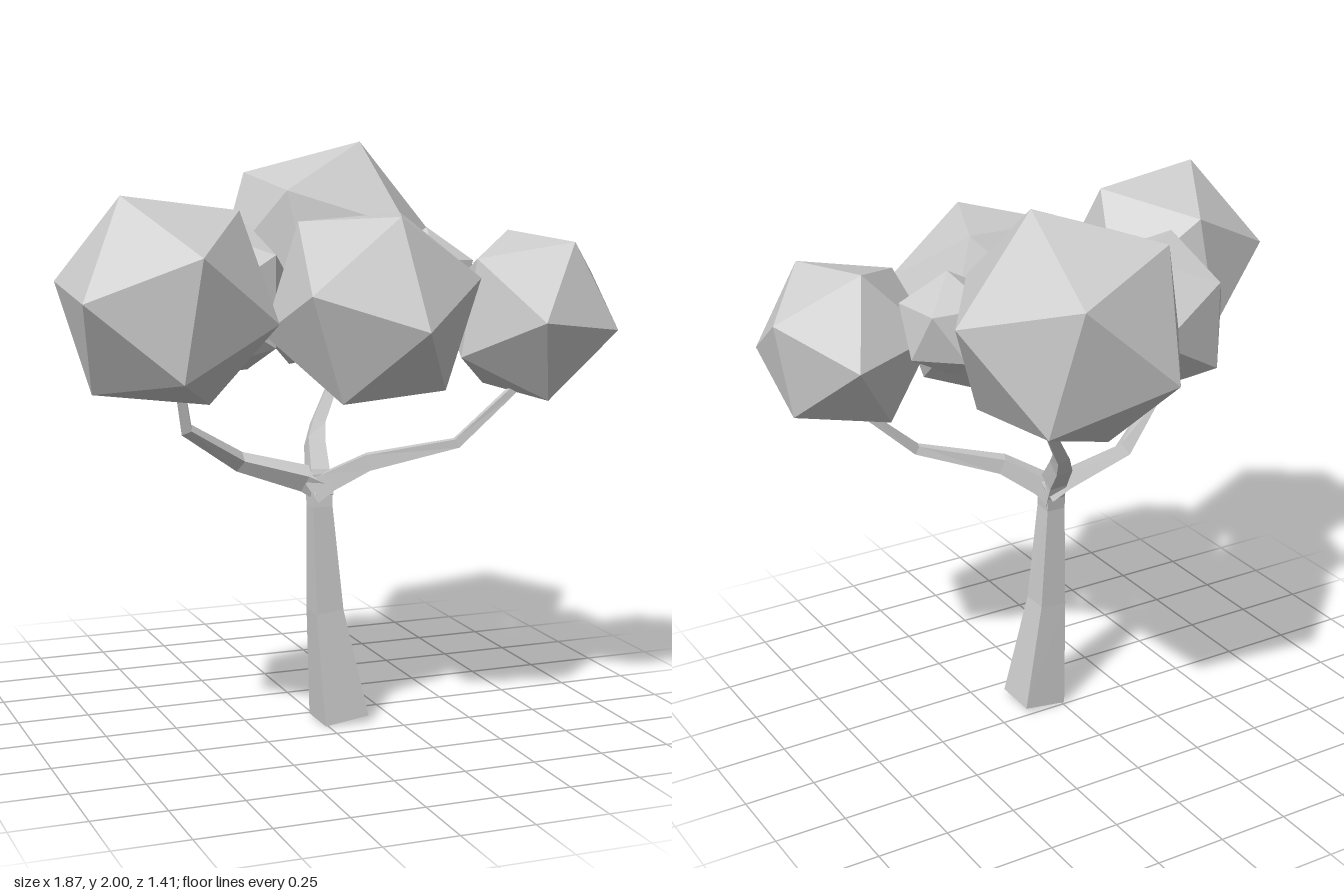
import * as THREE from 'three';

const material = new THREE.MeshStandardMaterial({ color: 0xcccccc, flatShading: true });
const vec = (p) => new THREE.Vector3(...p);

// Right-handed basis whose first axis is a and whose first plane holds b
function basis(a, b) {
  const e1 = a.clone().normalize();
  const e3 = new THREE.Vector3().crossVectors(e1, b).normalize();
  return new THREE.Matrix4().makeBasis(e1, new THREE.Vector3().crossVectors(e3, e1), e3);
}

// Icosahedron turned so that two neighbouring corners point along a and b
function foliage(name, centre, radius, a, b) {
  const geometry = new THREE.IcosahedronGeometry(radius, 0);
  const t = (1 + Math.sqrt(5)) / 2;
  const source = basis(vec([1, t, 0]), vec([-1, t, 0]));
  geometry.applyMatrix4(basis(vec(a), vec(b)).multiply(source.transpose()));
  const mesh = new THREE.Mesh(geometry, material);
  mesh.name = name;
  mesh.position.set(...centre);
  return mesh;
}

// Square limb through stations [x, y, z, halfWidth], capped at both ends
function limb(name, stations, ref) {
  const centres = stations.map(([x, y, z]) => vec([x, y, z]));
  const last = stations.length - 1;
  const positions = [];
  const index = [];
  centres.forEach((c, i) => {
    const before = c.clone().sub(centres[Math.max(i - 1, 0)]).normalize();
    const after = centres[Math.min(i + 1, last)].clone().sub(c).normalize();
    const tangent = before.add(after).normalize();
    const side = new THREE.Vector3().crossVectors(tangent, vec(ref)).normalize();
    const up = new THREE.Vector3().crossVectors(tangent, side);
    const w = stations[i][3];
    for (const [s, u] of [[1, 1], [-1, 1], [-1, -1], [1, -1]]) {
      positions.push(...c.clone().addScaledVector(side, s * w).addScaledVector(up, u * w).toArray());
    }
  });
  for (let i = 0; i < last; i++) {
    for (let k = 0; k < 4; k++) {
      const a = i * 4 + k, b = i * 4 + (k + 1) % 4;
      index.push(a, b, b + 4, a, b + 4, a + 4);
    }
  }
  const e = last * 4;
  index.push(0, 2, 1, 0, 3, 2, e, e + 1, e + 2, e, e + 2, e + 3);
  let geometry = new THREE.BufferGeometry();
  geometry.setAttribute('position', new THREE.Float32BufferAttribute(positions, 3));
  geometry.setIndex(index);
  geometry = geometry.toNonIndexed();
  geometry.computeVertexNormals();
  const mesh = new THREE.Mesh(geometry, material);
  mesh.name = name;
  return mesh;
}

export function createModel() {
  const tree = new THREE.Group();
  tree.name = 'tree';

  // Leaning trunk and three branches
  tree.add(
    limb('trunk', [[0.07, 0.013, 0.09, 0.081], [0.018, 0.4, 0.087, 0.05],
      [-0.003, 0.77, 0.087, 0.035], [0, 0.88, 0.075, 0.035]], [0, 0, 1]),
    limb('rightBranch', [[0.02, 0.83, 0.085, 0.04], [-0.05, 0.865, 0.07, 0.034], [-0.28, 0.935, 0.05, 0.025],
      [-0.5, 1.075, 0.16, 0.018], [-0.55, 1.3, 0.22, 0.014]], [0.3, 0.5, -1]),
    limb('leftBranch', [[-0.02, 0.82, 0.08, 0.04], [0.03, 0.86, 0.11, 0.034], [0.14, 0.93, 0.18, 0.028],
      [0.41, 1.0, 0.31, 0.016], [0.61, 1.18, 0.335, 0.013], [0.66, 1.3, 0.34, 0.012]], [0, 1, 0]),
    limb('backBranch', [[0, 0.8, 0.09, 0.036], [0, 0.88, 0.06, 0.034], [0.02, 0.97, -0.02, 0.03],
      [0.05, 1.03, -0.07, 0.022], [0.14, 1.17, -0.14, 0.017], [0.2, 1.32, -0.28, 0.013]], [1, 0, 0]),
  );

  // Faceted clumps of leaves
  tree.add(
    foliage('rightFoliage', [-0.62, 1.518, 0.345], 0.372, [-0.15, 0.335, 0.03], [0.24, 0.285, 0.03]),
    foliage('backRightFoliage', [-0.315, 1.48, -0.06], 0.295, [-0.13, 0.15, -0.22], [0.12, 0.265, -0.12]),
    foliage('backFoliage', [0.177, 1.6, -0.338], 0.42, [0.12, 0.4, 0.04], [0.412, 0.075, 0]),
    foliage('frontFoliage', [0.083, 1.48, 0.345], 0.368, [0.05, -0.05, 0.358], [0.01, 0.307, 0.195]),
    foliage('leftFoliage', [0.652, 1.433, 0.345], 0.314, [0.278, 0.127, -0.07], [0.088, 0.253, 0.165]),
    foliage('smallFoliage', [0.385, 1.53, 0.075], 0.186, [0.01, 0.17, 0], [0.14, 0.05, -0.125]),
  );
  return tree;
}
